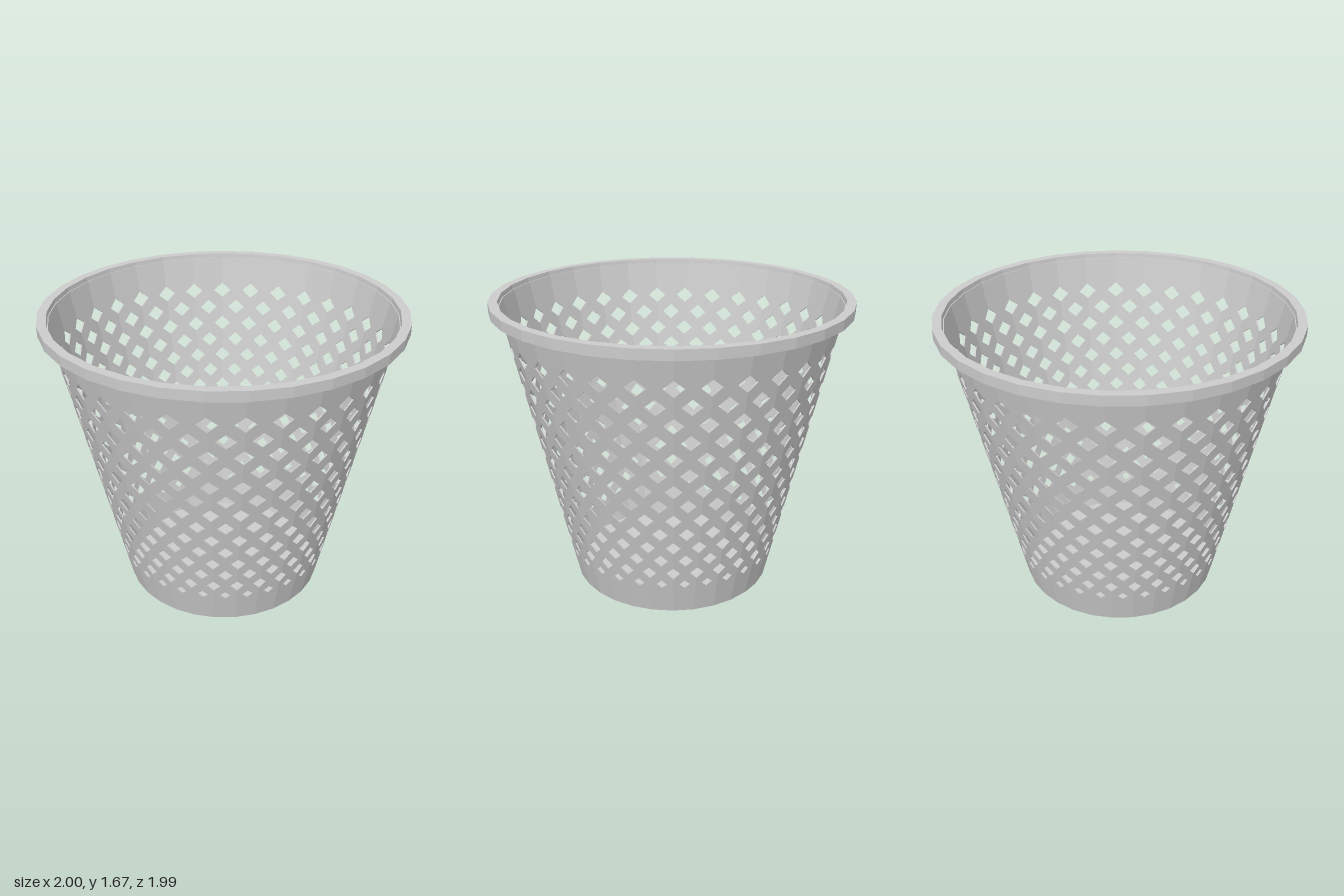
import * as THREE from 'three';

const SIDES = 31;
const STEP = (Math.PI * 2) / SIDES;
const WALL_TOP = 1.65;
const THICK = 0.008;
const radiusAt = (y) => 0.583 + 0.222 * y; // outer radius of the tapered wall

// Rows of diamond openings, closing up slightly towards the bottom
function openingRows() {
  const rows = [];
  let y = 1.45;
  for (let i = 0; i < 13; i++) {
    rows.push({ y, h: 0.046 - 0.0005 * i, w: 0.3 });
    y -= 0.104 - 0.0012 * i;
  }
  rows.push({ y: 0.2, h: 0.028, w: 0.24 });
  return rows;
}

// One flat facet of the wall: u runs -0.5..0.5 across it, y runs upwards.
// Odd rows are whole diamonds, even rows are half diamonds cut into both edges.
function facetGeometry() {
  const rows = openingRows();
  const notches = rows.filter((_, i) => i % 2 === 0);
  const shape = new THREE.Shape();
  shape.moveTo(-0.5, 0);
  shape.lineTo(0.5, 0);
  for (const { y, h, w } of [...notches].reverse()) {
    shape.lineTo(0.5, y - h);
    shape.lineTo(0.5 - w, y);
    shape.lineTo(0.5, y + h);
  }
  shape.lineTo(0.5, WALL_TOP);
  shape.lineTo(-0.5, WALL_TOP);
  for (const { y, h, w } of notches) {
    shape.lineTo(-0.5, y + h);
    shape.lineTo(-0.5 + w, y);
    shape.lineTo(-0.5, y - h);
  }
  shape.closePath();

  rows.forEach(({ y, h, w }, i) => {
    if (i % 2 === 0) return;
    const hole = new THREE.Path();
    hole.moveTo(0, y - h);
    hole.lineTo(-w, y);
    hole.lineTo(0, y + h);
    hole.lineTo(w, y);
    hole.closePath();
    shape.holes.push(hole);
  });

  // Lay the panel onto its side of the tapered polygon
  const geo = new THREE.ExtrudeGeometry(shape, { depth: 1, bevelEnabled: false });
  const p = geo.attributes.position;
  for (let i = 0; i < p.count; i++) {
    const y = p.getY(i);
    const r = radiusAt(y) - THICK * (1 - p.getZ(i));
    p.setXYZ(i, 2 * p.getX(i) * r * Math.sin(STEP / 2), y, r * Math.cos(STEP / 2));
  }
  geo.computeVertexNormals();
  return geo;
}

export function createModel() {
  const model = new THREE.Group();
  model.name = 'wasteBasket';
  const material = new THREE.MeshStandardMaterial({
    color: 0xcccccc,
    flatShading: true,
    side: THREE.DoubleSide,
  });

  // Latticed wall
  const wall = new THREE.Group();
  wall.name = 'latticeWall';
  const facet = facetGeometry();
  for (let i = 0; i < SIDES; i++) {
    const panel = new THREE.Mesh(facet, material);
    panel.name = 'wallPanel';
    panel.rotation.y = i * STEP;
    wall.add(panel);
  }
  model.add(wall);

  // Projecting rim
  const profile = [
    [0.942, 1.62], [1, 1.62], [1, 1.675], [0.95, 1.675], [0.942, 1.62],
  ].map(([x, y]) => new THREE.Vector2(x, y));
  const rim = new THREE.Mesh(new THREE.LatheGeometry(profile, SIDES, Math.PI), material);
  rim.name = 'rim';
  model.add(rim);

  // Solid floor
  const floor = new THREE.Mesh(
    new THREE.CylinderGeometry(0.582, 0.58, 0.01, SIDES, 1, false, Math.PI), material);
  floor.name = 'floor';
  floor.position.y = 0.005;
  model.add(floor);

  return model;
}
